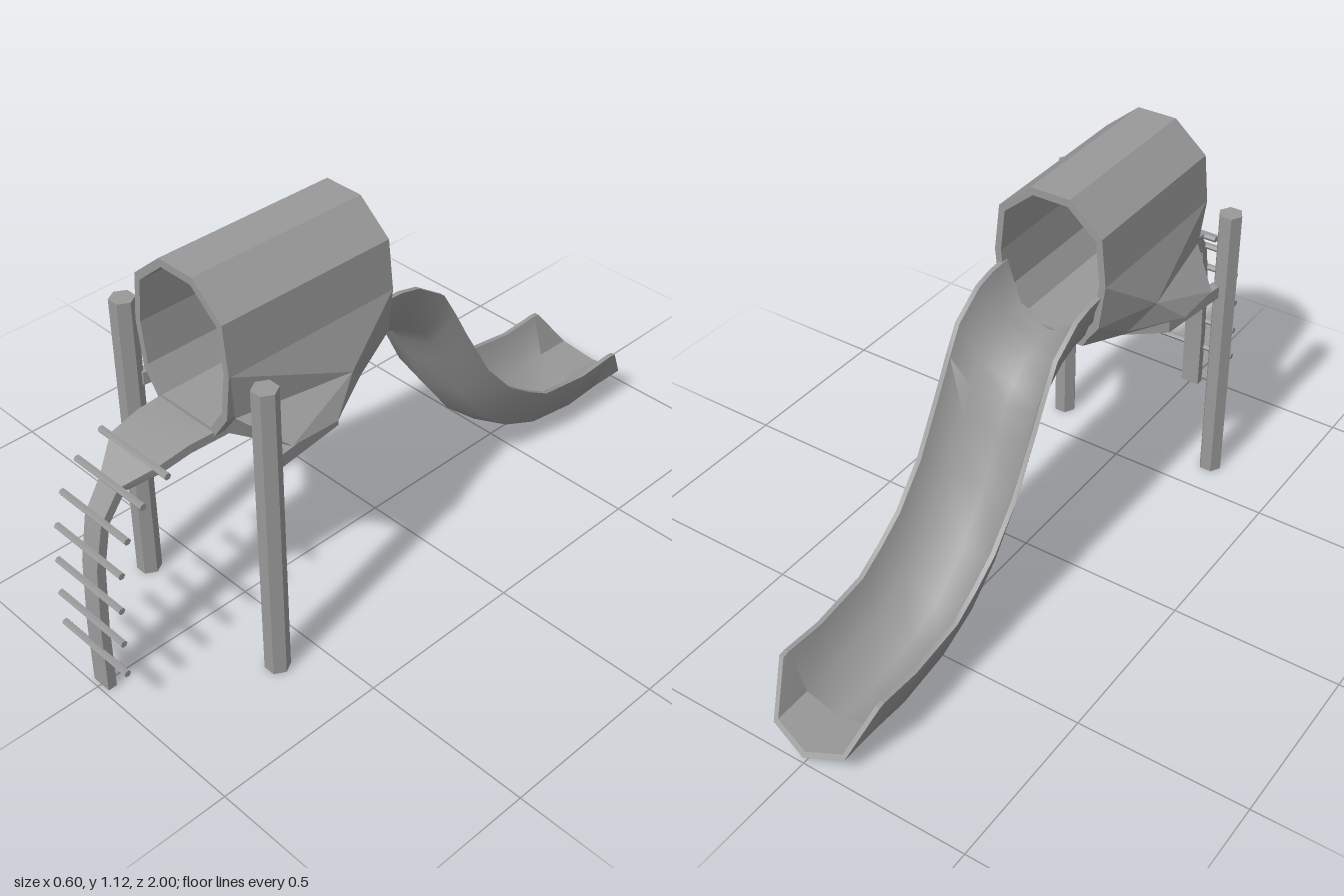
import * as THREE from 'three';
import { toCreasedNormals } from 'three/addons/utils/BufferGeometryUtils.js';

const grey = new THREE.MeshStandardMaterial({ color: 0x999999, side: THREE.DoubleSide });
grey.name = 'grey';

// Closed skin through equal-sized rings of [x, y, z], capped at both ends
function loft(rings, crease) {
  const n = rings[0].length, index = [];
  for (let i = 0; i < rings.length - 1; i++) {
    for (let j = 0; j < n; j++) {
      const a = i * n + j, b = i * n + (j + 1) % n;
      index.push(a, b, b + n, a, b + n, a + n);
    }
  }
  // caps join opposite points, so they also suit U-shaped rings
  const last = (rings.length - 1) * n;
  for (let j = 0; j < n / 2 - 1; j++) {
    const a = j, b = j + 1, c = n - 2 - j, d = n - 1 - j;
    index.push(a, c, b, a, d, c);
    index.push(last + a, last + b, last + c, last + a, last + c, last + d);
  }
  const g = new THREE.BufferGeometry();
  g.setAttribute('position', new THREE.Float32BufferAttribute(rings.flat(2), 3));
  g.setIndex(index);
  return toCreasedNormals(g, crease);
}

function facets(points, faces) {
  const pos = [];
  for (const face of faces) {
    for (let i = 1; i < face.length - 1; i++) {
      for (const k of [face[0], face[i], face[i + 1]]) pos.push(...points[k]);
    }
  }
  const g = new THREE.BufferGeometry();
  g.setAttribute('position', new THREE.Float32BufferAttribute(pos, 3));
  g.computeVertexNormals();
  return g;
}

export function createModel() {
  const model = new THREE.Group();
  const add = (name, geometry, x = 0, y = 0, z = 0) => {
    const mesh = new THREE.Mesh(geometry, grey);
    mesh.name = name;
    mesh.position.set(x, y, z);
    model.add(mesh);
    return mesh;
  };

  // Tunnel: ten-sided tube with thin walls
  const half = [[0.06, 1.115], [0.16, 1.03], [0.175, 0.89], [0.158, 0.757], [0.105, 0.68]];
  const outline = [...half, ...half.map(([x, y]) => [-x, y]).reverse()]
    .map(([x, y]) => new THREE.Vector2(x, y));
  const shape = new THREE.Shape(outline);
  shape.holes.push(new THREE.Path(outline.map(p =>
    new THREE.Vector2(p.x * 0.89, 0.895 + (p.y - 0.895) * 0.9))));
  add('tunnel', new THREE.ExtrudeGeometry(shape, { depth: 0.54, bevelEnabled: false }), 0, 0, 0.11);

  for (const s of [1, -1]) {
    const side = s > 0 ? 'left' : 'right';

    // Flared skirt under each side of the tunnel
    const p = {
      A: [0.175, 0.89, 0.11], F: [0.175, 0.89, 0.645], P: [0.225, 0.757, 0.30],
      B: [0.16, 0.757, 0.11], G: [0.165, 0.757, 0.63], Q: [0.265, 0.675, 0.39],
      R: [0.265, 0.68, 0.54], E: [0.18, 0.687, 0.23], C: [0.105, 0.678, 0.11],
      D: [0.105, 0.678, 0.62],
    };
    for (const k in p) p[k][0] *= s;
    add(side + 'Skirt', facets(p,
      ['APF', 'ABP', 'FPG', 'PQR', 'PRG', 'BCE', 'BEP', 'PEQ', 'CEQRD', 'GRD']));

    // Hexagonal post
    const post = add(side + 'Post', new THREE.CylinderGeometry(0.035, 0.035, 0.895, 6).toNonIndexed(),
      s * 0.267, 0.4475, 0.62);
    post.geometry.computeVertexNormals();
    post.rotation.y = Math.PI / 6;
  }

  // Support rail bent round behind the posts: [x, z] with its inward offset
  const rail = [[0.265, 0.60, -0.028, 0], [0.235, 0.36, -0.03, 0.02], [0.13, 0.275, -0.01, 0.035]];
  const path = [...rail, ...rail.map(([x, z, u, v]) => [-x, z, -u, v]).reverse()];
  add('supportRail', loft(path.map(([x, z, u, v]) => [
    [x, 0.63, z], [x, 0.668, z], [x + u, 0.668, z + v], [x + u, 0.63, z + v],
  ]), 0.3));

  // Slide: U-shaped section swept between floor [z, y] and rim [z, y]
  const floorRim = [
    [0.13, 0.68, 0.13, 0.855], [0.06, 0.672, 0.06, 0.85], [0, 0.65, 0, 0.835],
    [-0.06, 0.605, -0.095, 0.77], [-0.095, 0.555, -0.142, 0.69], [-0.13, 0.485, -0.19, 0.60],
    [-0.19, 0.355, -0.285, 0.435], [-0.30, 0.205, -0.385, 0.32], [-0.42, 0.10, -0.47, 0.26],
    [-0.56, 0.04, -0.555, 0.21], [-0.73, 0.012, -0.73, 0.185], [-0.85, 0.02, -0.86, 0.193],
    [-1, 0.02, -0.88, 0.19],
  ];
  // [x, height fraction] round the outside, then back along the inside
  const section = [
    [-0.162, 1], [-0.115, 0.22], [0, 0], [0.115, 0.22], [0.162, 1],
    [0.148, 1], [0.105, 0.28], [0, 0.08], [-0.105, 0.28], [-0.148, 1],
  ];
  const rings = floorRim.map(([z0, y0, z1, y1]) => section.map(([x, f]) =>
    [x, y0 + (y1 - y0) * f, z0 + (z1 - z0) * f]));
  add('slide', loft(rings.slice(0, 12), 1.05));
  add('slideExit', loft(rings.slice(11), 0.1));

  // Ladder spine: [z, y, half width, normal z, normal y]
  const spine = [
    [0.975, 0, 0.03, 1, 0], [0.975, 0.2, 0.03, 1, 0.02], [0.965, 0.4, 0.03, 1, 0.1],
    [0.94, 0.53, 0.032, 0.9, 0.4], [0.885, 0.61, 0.036, 0.7, 0.7], [0.81, 0.66, 0.092, 0.35, 0.93],
    [0.72, 0.678, 0.1, 0.1, 1], [0.6, 0.68, 0.107, 0, 1],
  ];
  const t = 0.013;
  add('ladderSpine', loft(spine.map(([z, y, w, nz, ny]) => [
    [-w, y + ny * t, z + nz * t], [w, y + ny * t, z + nz * t],
    [w, y - ny * t, z - nz * t], [-w, y - ny * t, z - nz * t],
  ]), 0.3));

  // Rungs across the spine
  const rungs = [[0.99, 0.135], [0.99, 0.237], [0.985, 0.344], [0.974, 0.45],
    [0.947, 0.543], [0.893, 0.617], [0.815, 0.665]];
  rungs.forEach(([z, y], i) => {
    const g = new THREE.CylinderGeometry(0.01, 0.01, 0.26, 6).toNonIndexed();
    g.computeVertexNormals();
    add('rung' + (i + 1), g, 0, y, z).rotation.z = Math.PI / 2;
  });

  return model;
}
